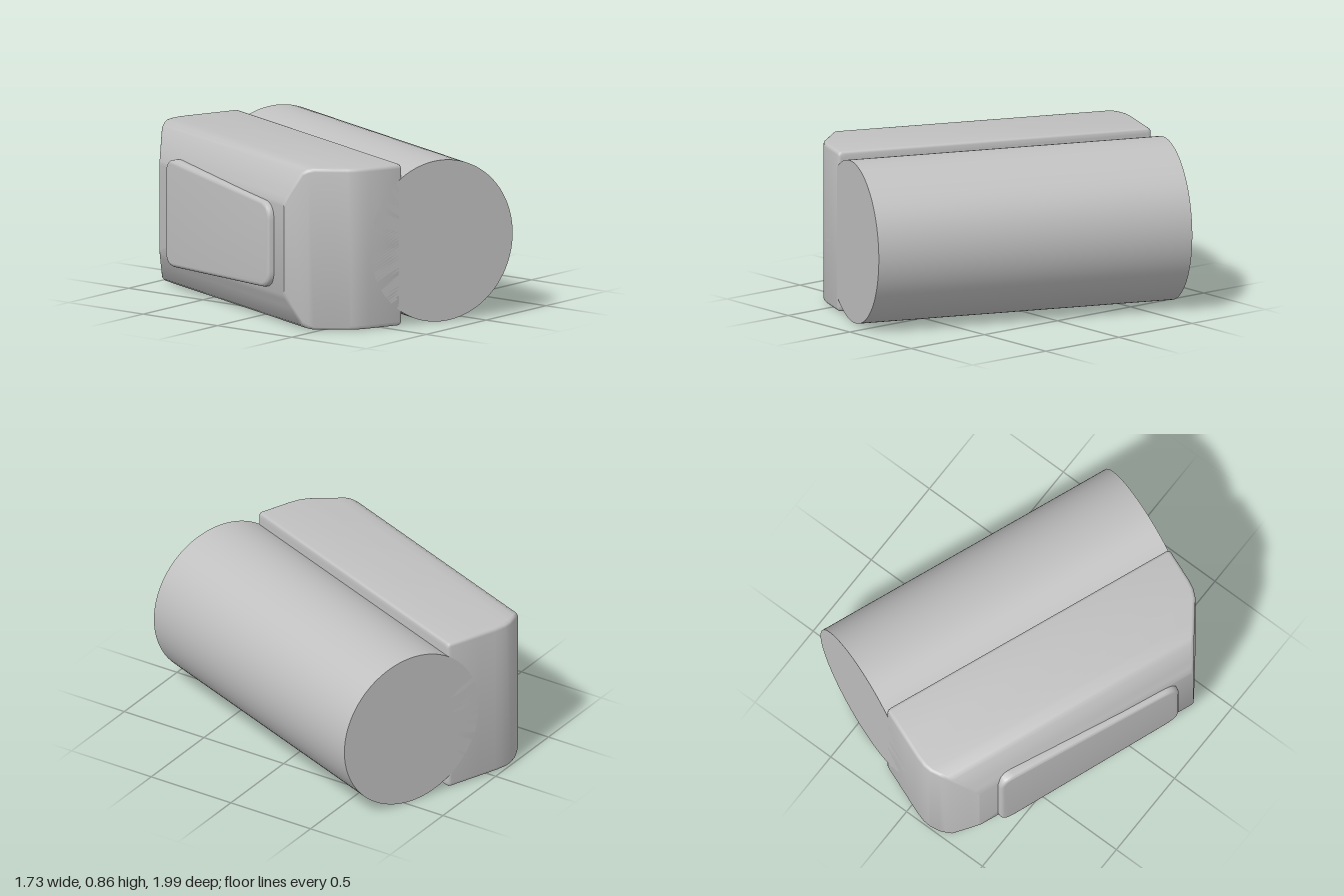
import * as THREE from 'three';
import { toCreasedNormals } from 'three/addons/utils/BufferGeometryUtils.js';

const MID = 0.43; // height of the long axis

// Linear interpolation through [position, value] pairs with falling positions
function lookup(table, p) {
  for (let i = 1; i < table.length; i++) {
    const [p0, v0] = table[i - 1], [p1, v1] = table[i];
    if (p >= p1) return v0 + (v1 - v0) * (p0 - p) / (p0 - p1);
  }
  return table[table.length - 1][1];
}

// Housing outline: both ends and half height, by depth x
const frontEnd = [[-0.09, 0.842], [-0.29, 0.842], [-0.34, 0.837], [-0.39, 0.82], [-0.43, 0.793], [-0.684, 0.63]];
const backEnd = [[-0.09, 0.89], [-0.40, 0.89], [-0.46, 0.885], [-0.5, 0.873], [-0.55, 0.843], [-0.6, 0.8], [-0.684, 0.68]];
const halfHeight = [[-0.09, 0.43], [-0.55, 0.43], [-0.575, 0.424], [-0.6, 0.408], [-0.65, 0.315], [-0.67, 0.275], [-0.684, 0.245]];

// Rounded rectangle ring in the z/y plane
function ring(x, z0, z1, h, r) {
  const pts = [], steps = 4;
  const corners = [[z1 - r, h - r], [z0 + r, h - r], [z0 + r, r - h], [z1 - r, r - h]];
  corners.forEach(([z, y], k) => {
    for (let i = 0; i <= steps; i++) {
      const a = (k + i / steps) * Math.PI / 2;
      pts.push([x, MID + y + r * Math.sin(a), z + r * Math.cos(a)]);
    }
  });
  return pts;
}

function housingGeometry() {
  const rings = [], r = 0.02;
  const section = (x, at, inset) =>
    rings.push(ring(x, -lookup(backEnd, at) + inset, lookup(frontEnd, at) - inset, lookup(halfHeight, at) - inset, r));
  // rounded front rim
  for (let i = 0; i <= 4; i++) {
    const a = i / 4 * Math.PI / 2;
    section(-0.09 - r * (1 - Math.cos(a)), -0.09, r * (1 - Math.sin(a)) * 0.9);
  }
  // body back to the flat rear face
  const stops = [...frontEnd, ...backEnd, ...halfHeight].map(e => e[0]).filter(x => x < -0.12);
  [...new Set(stops)].sort((a, b) => b - a).forEach(x => section(x, x, 0));

  const n = rings[0].length, pos = rings.flat(2), index = [];
  for (let i = 0; i < rings.length - 1; i++) {
    for (let j = 0; j < n; j++) {
      const k = (j + 1) % n, a = i * n, b = a + n;
      index.push(a + j, a + k, b + k, a + j, b + k, b + j);
    }
  }
  const last = (rings.length - 1) * n;
  for (let j = 1; j < n - 1; j++) {
    index.push(0, j + 1, j, last, last + j, last + j + 1);
  }
  const g = new THREE.BufferGeometry();
  g.setAttribute('position', new THREE.Float32BufferAttribute(pos, 3));
  g.setIndex(index);
  return toCreasedNormals(g, 0.55);
}

// Polygon with rounded corners
function roundedShape(points, r) {
  const shape = new THREE.Shape();
  const v = points.map(p => new THREE.Vector2(...p));
  v.forEach((p, i) => {
    const toward = q => p.clone().add(q.clone().sub(p).setLength(r));
    const a = toward(v[(i + v.length - 1) % v.length]), b = toward(v[(i + 1) % v.length]);
    if (i === 0) shape.moveTo(a.x, a.y); else shape.lineTo(a.x, a.y);
    shape.quadraticCurveTo(p.x, p.y, b.x, b.y);
  });
  shape.closePath();
  return shape;
}

export function createModel() {
  const model = new THREE.Group();
  model.name = 'model';
  const grey = new THREE.MeshStandardMaterial({ color: 0xc0c0c0 });
  grey.name = 'grey';
  const add = (name, geometry) => {
    const mesh = new THREE.Mesh(geometry, grey);
    mesh.name = name;
    model.add(mesh);
    return mesh;
  };

  // Round barrel lying along z
  const barrel = add('barrel', new THREE.CylinderGeometry(0.43, 0.43, 1.732, 96).rotateX(Math.PI / 2));
  barrel.position.set(0.145, MID, -0.024);

  // Block behind the barrel
  add('housing', housingGeometry());

  // Raised tapered panel on the rear face
  const outline = roundedShape([[-0.567, -0.29], [0.527, -0.225], [0.527, 0.225], [-0.567, 0.29]], 0.09);
  const panel = new THREE.ExtrudeGeometry(outline, {
    depth: 0.05, bevelThickness: 0.02, bevelSize: 0.02, bevelOffset: -0.02, bevelSegments: 4, curveSegments: 8,
  }).rotateY(-Math.PI / 2);
  add('rearPanel', toCreasedNormals(panel, 0.6)).position.set(-0.647, MID, 0);

  // Whole body stands turned about the vertical
  model.rotation.y = -0.3726;
  return model;
}
